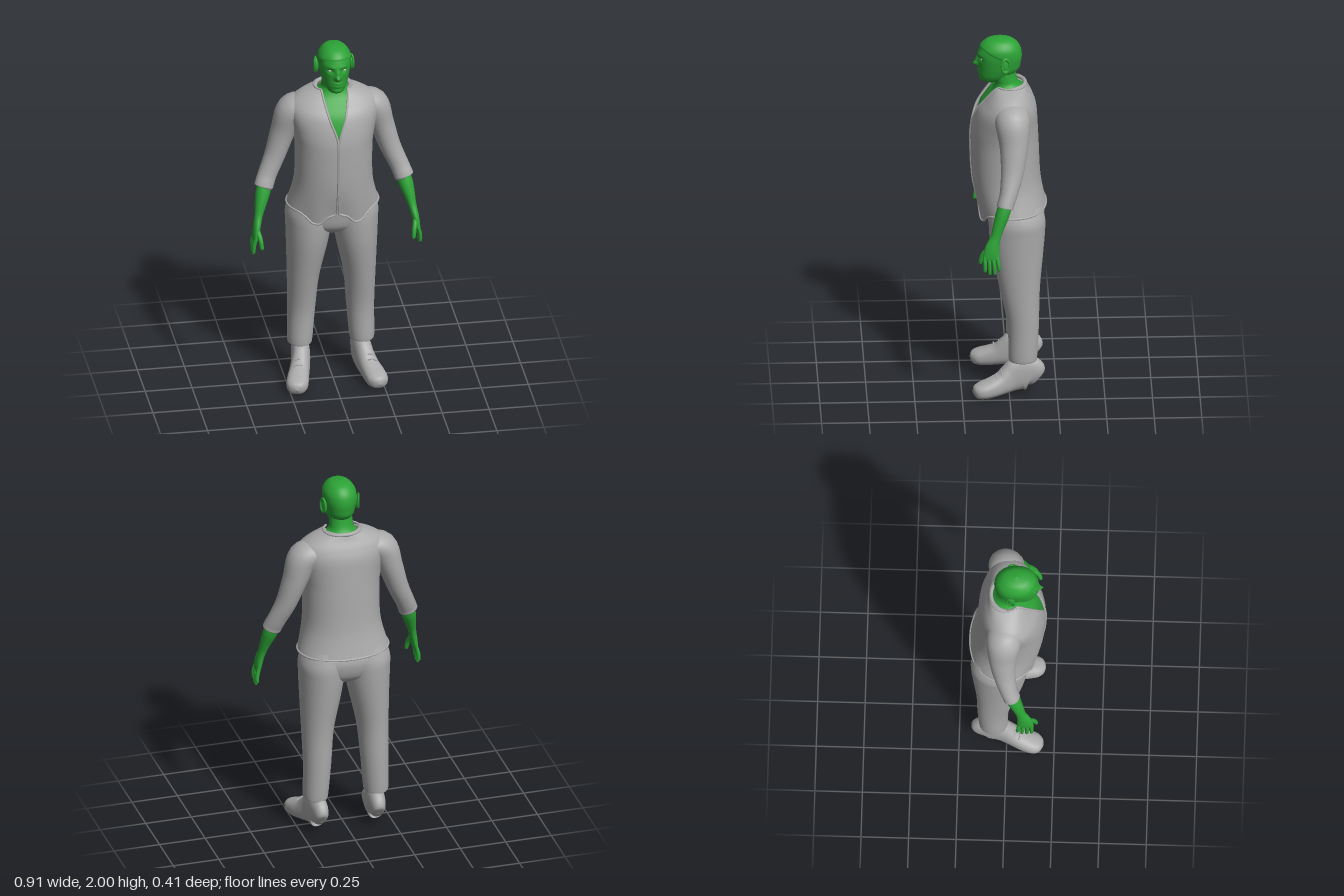
import * as THREE from 'three';

const skin = new THREE.MeshStandardMaterial({ color: 0x2ca336 });
skin.name = 'green skin';
const cloth = new THREE.MeshStandardMaterial({ color: 0xaaaaaa, side: THREE.DoubleSide });
cloth.name = 'grey cloth';
const eyeWhite = new THREE.MeshStandardMaterial({ color: 0xd8d8d8 });
eyeWhite.name = 'eye white';

const V = (x, y, z) => new THREE.Vector3(x, y, z);
const bell = (d, s) => Math.exp(-(d * d) / (s * s));

// Catmull-Rom refinement of cross-section rows
function refine(rows, n) {
  const out = [];
  const at = (i) => rows[Math.min(Math.max(i, 0), rows.length - 1)];
  for (let i = 0; i < rows.length - 1; i++) {
    for (let k = 0; k < n; k++) {
      const t = k / n;
      out.push(rows[i].map((b, c) => {
        const a = at(i - 1)[c], d = at(i + 1)[c], e = at(i + 2)[c];
        return b + 0.5 * t * (d - a + t * (2 * a - 5 * b + 4 * d - e + t * (3 * (b - d) + e - a)));
      }));
    }
  }
  out.push(rows[rows.length - 1]);
  return out;
}

// Skin over elliptical sections [x, y, z, radiusA, radiusB, frontGap]
function loft(rows, { n = 5, seg = 36, power = 2, upright = false, ref = V(0, 0, 1), warp = null, open = false } = {}) {
  const s = refine(rows, n), pos = [], idx = [];
  const P = s.map((r) => V(r[0], r[1], r[2]));
  const cols = open ? seg + 1 : seg;
  s.forEach((r, i) => {
    const T = upright ? V(0, 1, 0)
      : P[Math.min(i + 1, P.length - 1)].clone().sub(P[Math.max(i - 1, 0)]).normalize();
    const B = ref.clone().addScaledVector(T, -ref.dot(T)).normalize();
    const A = T.clone().cross(B);
    const rA = Math.max(r[3], 0.0005), rB = Math.max(r[4], 0.0005);
    const a0 = open ? Math.asin(Math.min(1, Math.max(r[5], 0.001) / rA) ** (power / 2)) : 0;
    for (let j = 0; j < cols; j++) {
      const a = a0 + (j / seg) * (Math.PI * 2 - 2 * a0);
      const f = (v) => Math.sign(v) * Math.abs(v) ** (2 / power);
      const p = P[i].clone().addScaledVector(A, rA * f(Math.sin(a))).addScaledVector(B, rB * f(Math.cos(a)));
      if (warp) warp(p);
      pos.push(p.x, p.y, p.z);
    }
  });
  for (let i = 0; i < s.length - 1; i++) {
    for (let j = 0; j < seg; j++) {
      const a = i * cols + j, b = i * cols + ((j + 1) % cols);
      idx.push(a, b, a + cols, b, b + cols, a + cols);
    }
  }
  const g = new THREE.BufferGeometry();
  g.setAttribute('position', new THREE.Float32BufferAttribute(pos, 3));
  g.setIndex(idx);
  g.computeVertexNormals();
  g.userData = { cols, rows: s.length };
  return g;
}

const tube = (pts, r, n = 24, closed = false) =>
  new THREE.TubeGeometry(new THREE.CatmullRomCurve3(pts, closed), n, r, 8, closed);

function mirrored(geo) {
  const g = geo.clone().scale(-1, 1, 1), ix = g.index.array;
  for (let i = 0; i < ix.length; i += 3) [ix[i], ix[i + 1]] = [ix[i + 1], ix[i]];
  g.computeVertexNormals();
  return g;
}

export function createModel() {
  const model = new THREE.Group();
  const add = (name, geo, mat) => {
    const m = new THREE.Mesh(geo, mat);
    m.name = name;
    model.add(m);
  };
  const pair = (name, geo, mat) => {
    add('left' + name, geo, mat);
    add('right' + name, mirrored(geo), mat);
  };

  // Open jacket with a V neck and pointed front hem
  const jacketRows = [
    [0, 1.05, -0.02, 0.243, 0.178, 0.006], [0, 1.2, 0.01, 0.208, 0.18, 0.003],
    [0, 1.4, 0.02, 0.205, 0.18, 0.003], [0, 1.5, 0.02, 0.217, 0.175, 0.006],
    [0, 1.6, 0.01, 0.238, 0.158, 0.04], [0, 1.66, 0, 0.23, 0.128, 0.056],
    [0, 1.705, -0.005, 0.175, 0.1, 0.066], [0, 1.735, -0.01, 0.1, 0.083, 0.07],
  ];
  const hem = (p) => {
    const w = Math.min(1, Math.max(0, (1.2 - p.y) / 0.15));
    if (p.z > 0) p.y -= 0.065 * w * bell(Math.abs(p.x) - 0.11, 0.055);
  };
  const jacket = loft(jacketRows, { n: 6, seg: 72, power: 2.15, upright: true, open: true, warp: hem });
  add('jacket', jacket, cloth);

  // Rolled trim round the neck, opening and hem
  const { cols, rows } = jacket.userData;
  const point = (i, j) => new THREE.Vector3().fromBufferAttribute(jacket.attributes.position, i * cols + j);
  const edge = [];
  for (let j = 0; j < cols; j += 2) edge.push(point(0, j));
  for (let i = 1; i < rows - 1; i += 2) edge.push(point(i, cols - 1));
  for (let j = cols - 1; j >= 0; j -= 4) edge.push(point(rows - 1, j));
  for (let i = rows - 2; i > 0; i -= 2) edge.push(point(i, 0));
  add('jacketTrim', tube(edge, 0.006, 260, true), cloth);
  const collar = [];
  for (let i = -4; i <= 4; i++) {
    const a = Math.PI + i * 0.52;
    collar.push(V(0.093 * Math.sin(a), 1.735 - 0.02 * bell(Math.abs(i) - 4, 1), -0.005 + 0.083 * Math.cos(a)));
  }
  add('collar', tube(collar, 0.011, 40), cloth);

  // Sleeves
  pair('Sleeve', loft([
    [0.14, 1.63, -0.015, 0.055, 0.085], [0.215, 1.6, -0.015, 0.08, 0.092], [0.262, 1.48, -0.02, 0.066, 0.075],
    [0.305, 1.35, -0.01, 0.056, 0.06], [0.348, 1.25, 0.01, 0.051, 0.048], [0.368, 1.2, 0.026, 0.051, 0.045],
    [0.374, 1.18, 0.031, 0.05, 0.044], [0.376, 1.176, 0.032, 0.034, 0.03],
  ]), cloth);

  // Trousers
  add('trouserSeat', loft([
    [0, 0.87, -0.04, 0.08, 0.06], [0, 0.92, -0.04, 0.19, 0.125], [0, 1.0, -0.042, 0.24, 0.148],
    [0, 1.06, -0.035, 0.222, 0.145], [0, 1.12, -0.025, 0.19, 0.125],
  ], { upright: true, power: 2.2 }), cloth);
  pair('TrouserLeg', loft([
    [0.165, 0.205, -0.07, 0.045, 0.055], [0.165, 0.2, -0.071, 0.06, 0.07], [0.165, 0.225, -0.071, 0.067, 0.076],
    [0.157, 0.4, -0.073, 0.074, 0.083], [0.15, 0.6, -0.056, 0.085, 0.105], [0.132, 0.8, -0.044, 0.109, 0.135],
    [0.124, 0.92, -0.042, 0.121, 0.147], [0.12, 1.0, -0.042, 0.125, 0.148], [0.105, 1.08, -0.035, 0.11, 0.135],
  ], { upright: true }), cloth);

  // Shoes, toes turned out
  pair('Shoe', loft([
    [0.157, 0.085, -0.152, 0.001, 0.001], [0.157, 0.09, -0.146, 0.03, 0.05], [0.158, 0.118, -0.115, 0.046, 0.09],
    [0.162, 0.122, -0.06, 0.05, 0.097], [0.17, 0.1, -0.01, 0.05, 0.08], [0.185, 0.075, 0.04, 0.053, 0.06],
    [0.203, 0.056, 0.1, 0.058, 0.05], [0.215, 0.046, 0.15, 0.056, 0.042], [0.22, 0.042, 0.182, 0.036, 0.03],
    [0.222, 0.04, 0.195, 0.001, 0.001],
  ], { ref: V(0, 1, 0), power: 2.4 }), cloth);
  for (let i = 0; i < 3; i++) {
    const z = 0.01 + i * 0.028, x = 0.176 + i * 0.009, y = 0.166 - i * 0.018;
    pair('Lace' + (i + 1), tube([V(x - 0.032, y - 0.014, z), V(x, y + 0.002, z + 0.006), V(x + 0.032, y - 0.014, z)], 0.004, 10), cloth);
  }

  // Bare chest and neck
  add('chest', loft([
    ...jacketRows.slice(0, 6).map(([x, y, z, a, b]) => [x, y, z, a - 0.014, b - 0.014]),
    [0, 1.7, -0.002, 0.12, 0.085], [0, 1.735, 0.005, 0.07, 0.064],
    [0, 1.77, 0.015, 0.062, 0.06], [0, 1.83, 0.025, 0.06, 0.06],
  ], { upright: true, power: 2.15, seg: 48 }), skin);

  // Head with modelled brow, nose, mouth and raised hairline
  const face = (p) => {
    const ax = Math.abs(p.x), y = p.y;
    if (p.z > 0.07) {
      p.z += 0.026 * bell(ax, 0.013) * bell(y - 0.85 - 1, 0.014)
        + 0.013 * bell(ax, 0.011) * bell(y - 1.875, 0.022)
        + 0.007 * bell(ax, 0.024) * (bell(y - 1.815, 0.007) + bell(y - 1.798, 0.007))
        + 0.006 * bell(ax, 0.025) * bell(y - 1.768, 0.012)
        + 0.004 * bell(ax - 0.03, 0.025) * bell(y - 1.912, 0.01)
        - 0.01 * bell(ax - 0.035, 0.018) * bell(y - 1.888, 0.012);
    }
    const line = p.z > 0.03 ? 1.895 + 0.05 * Math.min(1, (p.z - 0.03) / 0.1) : 1.79 + 0.105 * Math.max(0, p.z / 0.03);
    const h = Math.min(1, Math.max(0, (y - line) / 0.008));
    p.x *= 1 + 0.045 * h;
    p.z += (p.z - 0.046) * 0.04 * h;
  };
  add('head', loft([
    [0, 1.745, 0.09, 0.001, 0.001], [0, 1.752, 0.088, 0.036, 0.05], [0, 1.78, 0.07, 0.058, 0.082],
    [0, 1.82, 0.052, 0.072, 0.104], [0, 1.86, 0.048, 0.08, 0.111], [0, 1.9, 0.047, 0.085, 0.114],
    [0, 1.94, 0.046, 0.082, 0.106], [0, 1.97, 0.045, 0.066, 0.086], [0, 1.99, 0.044, 0.042, 0.055],
    [0, 2.0, 0.044, 0.001, 0.001],
  ], { upright: true, n: 8, seg: 80, power: 2.1, warp: face }), skin);
  pair('Eye', new THREE.SphereGeometry(1, 16, 10).scale(0.012, 0.006, 0.007).translate(0.035, 1.889, 0.139), eyeWhite);

  // Ears
  pair('Ear', new THREE.SphereGeometry(1, 16, 12).scale(0.011, 0.04, 0.024).rotateY(0.25).translate(0.09, 1.868, 0.02), skin);
  pair('EarRim', new THREE.TorusGeometry(0.022, 0.006, 8, 20).scale(1, 1.7, 1)
    .rotateY(Math.PI / 2 + 0.3).translate(0.097, 1.872, 0.017), skin);

  // Forearms, palms and fingers
  pair('Forearm', loft([
    [0.362, 1.22, 0.022, 0.036, 0.034], [0.38, 1.15, 0.042, 0.039, 0.037], [0.396, 1.09, 0.062, 0.031, 0.032],
    [0.41, 1.03, 0.08, 0.022, 0.027], [0.422, 0.975, 0.098, 0.02, 0.037], [0.43, 0.93, 0.104, 0.017, 0.043],
    [0.434, 0.905, 0.106, 0.012, 0.04], [0.435, 0.9, 0.106, 0.001, 0.001],
  ], { seg: 28 }), skin);
  const digit = (name, a, b, c, r) => pair(name, loft([
    [...a, r, r], [...b, r, r], [...c, r * 0.8, r * 0.8],
    [c[0], c[1] - 0.006, c[2], 0.001, 0.001],
  ], { seg: 12, n: 4 }), skin);
  [[0.073, 0.063, 0.852], [0.095, 0.087, 0.832], [0.117, 0.113, 0.832], [0.138, 0.138, 0.846]].forEach(([z0, z1, y1], i) => {
    digit('Finger' + (i + 1), [0.432, 0.925, z0], [0.442, 0.885, (z0 + z1) / 2], [0.444, y1, z1], 0.0105);
  });
  digit('Thumb', [0.42, 0.965, 0.122], [0.41, 0.925, 0.15], [0.404, 0.878, 0.162], 0.0125);

  return model;
}
